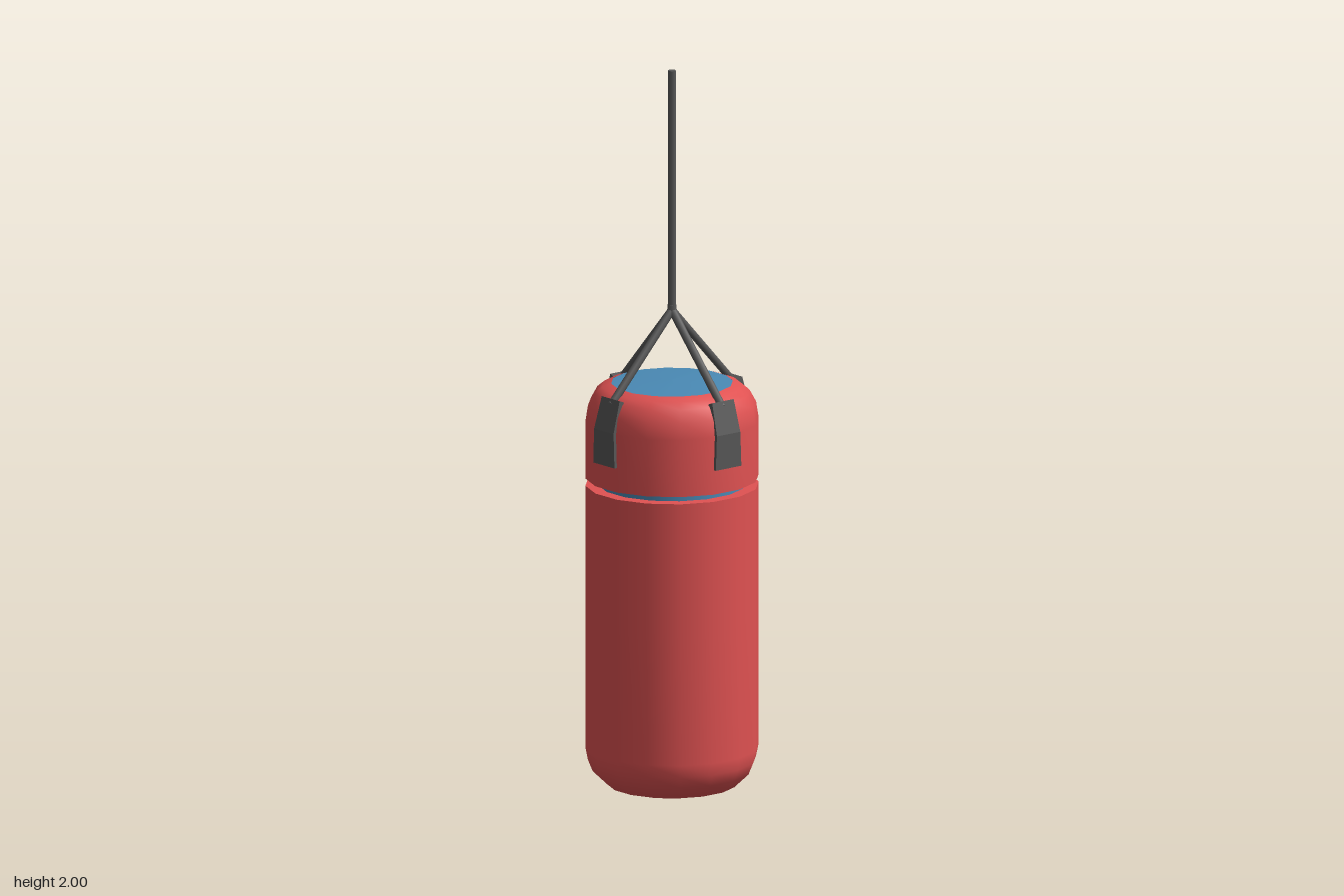
import * as THREE from 'three';

const mat = (name, color, side = THREE.FrontSide) =>
  Object.assign(new THREE.MeshStandardMaterial({ color, side }), { name });

export function createModel() {
  const red = mat('red vinyl', 0xe05252);
  const blue = mat('blue core', 0x4a8ab5);
  const grey = mat('dark strap', 0x585858);
  const model = new THREE.Group();
  model.name = 'hangingBag';

  const add = (name, geometry, material, parent = model) => {
    const mesh = new THREE.Mesh(geometry, material);
    mesh.name = name;
    parent.add(mesh);
    return mesh;
  };
  // Sixteen-sided surface of revolution with flats facing the four straps
  const lathe = (name, pts, material) => add(name, new THREE.LatheGeometry(
    pts.map(p => new THREE.Vector2(...p)), 16, Math.PI / 16), material);
  // Straight cord between two points
  const cord = (name, a, b, r, parent) => {
    const dir = b.clone().sub(a);
    const mesh = add(name, new THREE.CylinderGeometry(r, r, dir.length(), 8), grey, parent);
    mesh.position.copy(a).add(b).multiplyScalar(0.5);
    mesh.quaternion.setFromUnitVectors(new THREE.Vector3(0, 1, 0), dir.normalize());
  };

  // Bag: lower body and upper cap, parted by a narrow groove
  lathe('body', [[0, 0.003], [0.12, 0.006], [0.175, 0.02], [0.215, 0.058], [0.228, 0.09],
    [0.235, 0.125], [0.235, 0.5], [0.235, 0.852]], red);
  lathe('lowerLip', [[0.235, 0.852], [0.198, 0.852]], red);
  lathe('upperLip', [[0.198, 0.872], [0.235, 0.872]], red);
  lathe('cap', [[0.235, 0.872], [0.235, 1.03], [0.228, 1.075], [0.21, 1.108], [0.19, 1.125],
    [0.165, 1.134]], red);
  lathe('core', [[0.2, 0.84], [0.2, 0.884]], blue);
  lathe('topDisc', [[0.166, 1.133], [0.09, 1.138], [0, 1.14]], blue);

  // Side outline of a strap pad, bent over the shoulder of the bag
  const outline = new THREE.Shape([[0.222, 0.94], [0.239, 0.94], [0.239, 1.035], [0.215, 1.122],
    [0.2, 1.116], [0.222, 1.03]].map(p => new THREE.Vector2(...p)));
  const padGeometry = new THREE.ExtrudeGeometry(outline, { depth: 0.086, bevelEnabled: false });
  padGeometry.translate(0, 0, -0.043);
  const pos = padGeometry.attributes.position;
  for (let i = 0; i < pos.count; i++) // narrower towards the top
    pos.setZ(i, pos.getZ(i) * (1.04 - 0.9 * (pos.getY(i) - 0.94)));
  padGeometry.computeVertexNormals();

  // Four pads with their slanted cords
  const knot = new THREE.Vector3(0, 1.335, 0);
  for (let i = 0; i < 4; i++) {
    const strap = new THREE.Group();
    strap.name = 'strap' + (i + 1);
    strap.rotation.y = i * Math.PI / 2;
    add('strapPad', padGeometry, grey, strap);
    cord('strapCord', new THREE.Vector3(0.212, 1.105, 0), knot, 0.011, strap);
    model.add(strap);
  }

  // Hanging rope and the knot where the cords meet
  cord('hangingRope', new THREE.Vector3(0, 1.33, 0), new THREE.Vector3(0, 2, 0), 0.011);
  add('knot', new THREE.CylinderGeometry(0.012, 0.014, 0.03, 8), grey).position.copy(knot);

  model.rotation.y = 0.02;
  return model;
}
